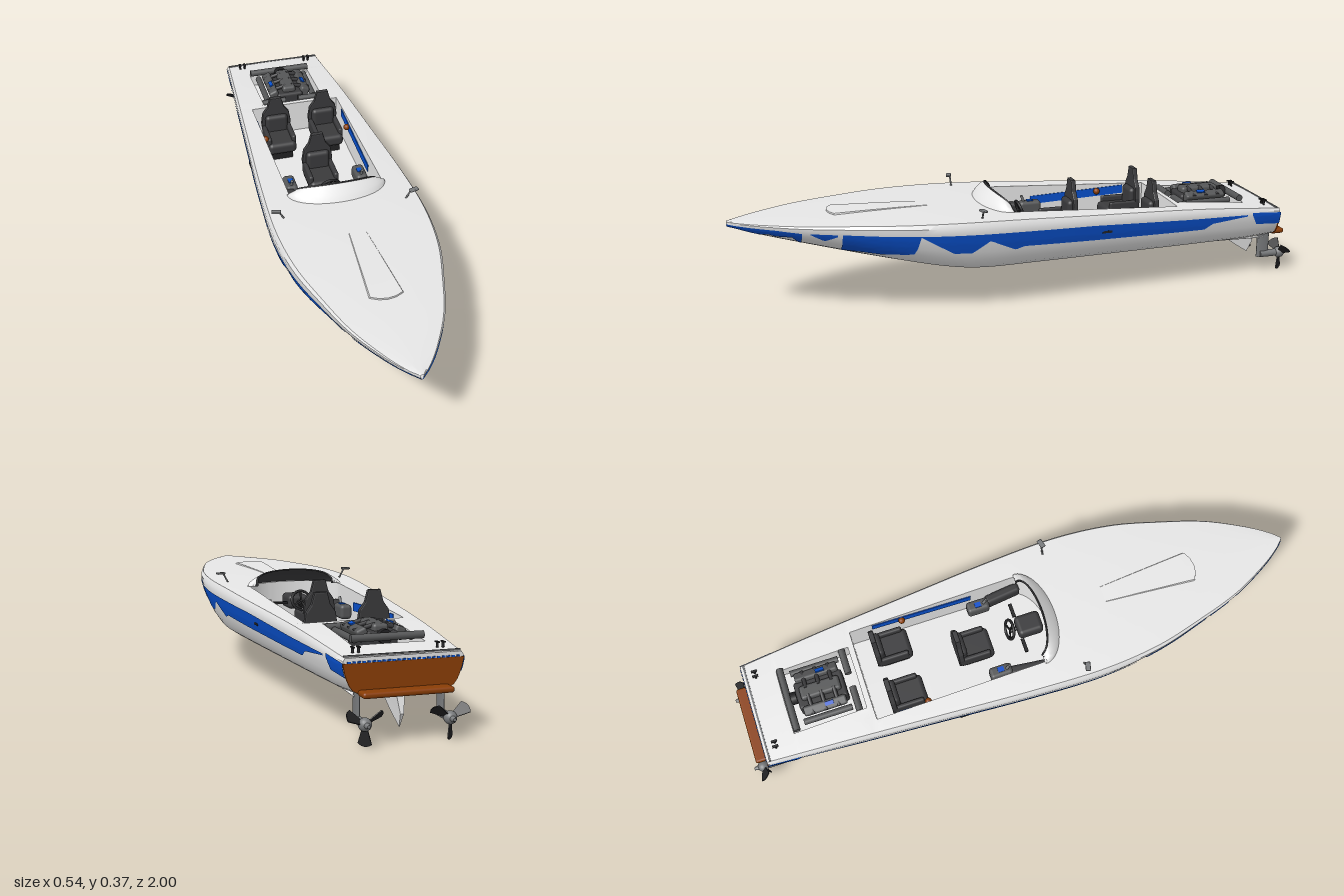
import * as THREE from 'three';
import { toCreasedNormals } from 'three/addons/utils/BufferGeometryUtils.js';
import { RoundedBoxGeometry } from 'three/addons/geometries/RoundedBoxGeometry.js';

const mat = (name, color, side = THREE.FrontSide) => {
  const m = new THREE.MeshStandardMaterial({ color, side });
  m.name = name;
  return m;
};
const white = mat('white gelcoat', 0xf2f2f2, THREE.DoubleSide);
const blue = mat('blue paint', 0x0850cc, THREE.DoubleSide);
const rust = mat('copper brown', 0x8a3e06);
const dark = mat('dark upholstery', 0x3a3a3c, THREE.DoubleSide);
const steel = mat('engine grey', 0x555657);
const grey = mat('grey metal', 0x787a7c);
const black = mat('black', 0x222224);

// Smooth interpolation through [z, value] pairs
function sample(t, z) {
  let i = 0;
  while (i < t.length - 2 && z > t[i + 1][0]) i++;
  const slope = k => {
    const a = t[Math.max(k - 1, 0)], b = t[Math.min(k + 1, t.length - 1)];
    return (b[1] - a[1]) / (b[0] - a[0]);
  };
  const [z0, v0] = t[i], [z1, v1] = t[i + 1], d = z1 - z0;
  const s = Math.min(1, Math.max(0, (z - z0) / d)), q = s * s, c = q * s;
  return (2 * c - 3 * q + 1) * v0 + (c - 2 * q + s) * d * slope(i) + (3 * q - 2 * c) * v1 + (c - q) * d * slope(i + 1);
}
const lerpTable = (t, z) => {
  let i = 0;
  while (i < t.length - 2 && z > t[i + 1][0]) i++;
  return THREE.MathUtils.mapLinear(z, t[i][0], t[i + 1][0], t[i][1], t[i + 1][1]);
};

// Hull lines
const BEAM = [[-.93, .185], [-.6, .212], [-.3, .235], [0, .257], [.25, .265], [.45, .245], [.62, .2], [.77, .15], [.9, .082], [.97, .034], [1, .005]];
const TOP = [[-.93, .25], [-.6, .28], [-.2, .302], [.1, .317], [.4, .324], [.7, .324], [1, .319]];
const KEEL = [[-.93, .135], [-.8, .127], [0, .126], [.2, .127], [.3, .137], [.4, .154], [.6, .195], [.8, .245], [.92, .278], [1, .305]];
const MID = [[0, 0], [.015, .3], [.035, .6], [.08, .74], [.17, .84], [.3, .9], [.45, .94], [.62, .975], [.8, 1], [.92, 1], [1, .965]];
const BOW = [[0, 0], [.06, .28], [.14, .47], [.24, .63], [.35, .75], [.47, .85], [.61, .92], [.73, .965], [.84, .99], [.92, 1], [1, .965]];
const deckY = (z, x) => sample(TOP, z) + .003 * (1 - (x / sample(BEAM, z)) ** 2);
function sidePoints(z) {
  const w = sample(BEAM, z), k = sample(KEEL, z), h = sample(TOP, z) - k;
  const s = THREE.MathUtils.smoothstep(z, .1, .9);
  return MID.map(([u, f], i) => [w * (f + (BOW[i][1] - f) * s), k + h * (u + (BOW[i][0] - u) * s)]);
}
const sideX = (z, y) => lerpTable(sidePoints(z).map(([x, v]) => [v, x]), y);

// Half width of the deck openings
function opening(z) {
  if (z > -.82 && z < -.56) return .115;
  if (z > -.54 && z <= .05) return .165;
  if (z > .05 && z < .14) return .165 * Math.sqrt(1 - ((z - .05) / .09) ** 2);
  return 0;
}

// Surface through rows of points
function grid(rows, crease = .6) {
  const n = rows[0].length, idx = [];
  for (let i = 0; i < rows.length - 1; i++) for (let j = 0; j < n - 1; j++) {
    const a = i * n + j, b = a + n;
    idx.push(a, a + 1, b, a + 1, b + 1, b);
  }
  const g = new THREE.BufferGeometry();
  g.setAttribute('position', new THREE.Float32BufferAttribute(rows.flat(2), 3));
  g.setIndex(idx);
  return toCreasedNormals(g, crease);
}
function add(parent, name, geo, m, x = 0, y = 0, z = 0, rx = 0, ry = 0, rz = 0) {
  const mesh = new THREE.Mesh(geo, m);
  mesh.name = name;
  mesh.position.set(x, y, z);
  mesh.rotation.set(rx, ry, rz);
  parent.add(mesh);
}
const box = (w, h, d) => new THREE.BoxGeometry(w, h, d);
const cyl = (r, h, r2 = r) => new THREE.CylinderGeometry(r2, r, h, 16);
const plate = (pts, depth) => new THREE.ExtrudeGeometry(new THREE.Shape(pts.map(p => new THREE.Vector2(...p))), { depth, bevelEnabled: false });
const group = (parent, name, x = 0, y = 0, z = 0) => {
  const g = new THREE.Group();
  g.name = name;
  g.position.set(x, y, z);
  parent.add(g);
  return g;
};

function hullRow(z) {
  const o = opening(z), edge = sample(BEAM, z) * .965;
  const half = sidePoints(z).map(([x, y]) => [x, y, z]);
  for (let i = 1; i <= 5; i++) {
    const x = edge + (o - edge) * i / 5;
    half.push([x, deckY(z, x), z]);
  }
  const floor = o > 0 ? (z < -.55 ? .215 : .165) : deckY(z, 0);
  half.push([o, floor, z], [0, floor, z]);
  return [...half, ...half.slice(0, -1).reverse().map(([x, y, q]) => [-x, y, q])];
}

// Painted strip lying on the hull side, closed under the stem where it reaches the keel
function sidePatch(parent, top, bottom, s) {
  const z0 = top[0][0], z1 = top[top.length - 1][0], n = Math.ceil((z1 - z0) / .01), rows = [];
  for (let i = 0; i <= n; i++) {
    const z = z0 + (z1 - z0) * i / n, k = sample(KEEL, z), t = Math.min(lerpTable(top, z), sample(TOP, z) - .004);
    const low = lerpTable(bottom, z), b = Math.min(t, Math.max(k, low)), row = [];
    for (let j = 0; j <= 10; j++) {
      const y = b + (t - b) * j / 10, stem = j === 0 && low <= k;
      row.push([stem ? 0 : s * (sideX(z, y) + .0025), stem ? k - .002 : y, z + (z > .5 ? .0015 : 0)]);
    }
    rows.push(s > 0 ? row : row.reverse());
  }
  add(parent, 'sideStripe', grid(rows), blue);
}

function seat(parent, x, z) {
  const g = group(parent, 'seat', x, 0, z);
  const s = new THREE.Shape([[-.045, .2], [.045, .2], [.052, .26], [.046, .3], [.028, .325], [.018, .362], [-.018, .362], [-.028, .325], [-.046, .3], [-.052, .26]].map(p => new THREE.Vector2(...p)));
  const back = new THREE.ExtrudeGeometry(s, { depth: .01, bevelSize: .004, bevelThickness: .004, bevelSegments: 2 });
  add(g, 'seatBack', back, dark, 0, .004, -.066);
  add(g, 'seatCushion', new RoundedBoxGeometry(.106, .045, .13, 3, .016), dark, 0, .215, -.005);
  add(g, 'lumbarPad', new RoundedBoxGeometry(.085, .09, .03, 3, .014), dark, 0, .255, -.05);
  add(g, 'seatBase', box(.08, .04, .09), black, 0, .183, 0);
  for (const s2 of [-1, 1]) add(g, 'seatBolster', new RoundedBoxGeometry(.016, .05, .11, 3, .007), dark, s2 * .046, .232, -.01);
}

function propeller(parent, s) {
  const g = group(parent, 'propeller', s * .131, .065, -.968);
  add(g, 'propellerHub', new THREE.SphereGeometry(.02, 20, 14), grey);
  add(g, 'propellerTail', cyl(.014, .032, .005), grey, 0, 0, -.016, -Math.PI / 2);
  const shape = new THREE.Shape();
  shape.moveTo(-.008, .01).quadraticCurveTo(-.016, .035, -.022, .056).quadraticCurveTo(0, .072, .022, .056).quadraticCurveTo(.016, .035, .008, .01);
  const blade = new THREE.ExtrudeGeometry(shape, { depth: .003, bevelEnabled: false }).translate(0, 0, -.0015).rotateY(.85 * s);
  for (let i = 0; i < 3; i++) add(g, 'propellerBlade', blade, black, 0, 0, 0, 0, 0, Math.PI + i * Math.PI * 2 / 3);
  add(parent, 'propellerShaft', cyl(.013, .07), grey, s * .131, .065, -.925, Math.PI / 2);
  add(parent, 'propellerStrut', cyl(.009, .09).scale(.7, 1, 2.7), grey, s * .131, .1, -.9);
}

export function createModel() {
  const boat = new THREE.Group();
  boat.name = 'speedboat';

  // Hull, deck and cockpit tub in one loft
  const st = [];
  for (let i = 0; i <= 80; i++) st.push(-.93 + 1.93 * i / 80);
  for (const z of [-.82, -.56, -.54]) st.push(z - .0006, z + .0006);
  for (let i = 0; i <= 12; i++) st.push(.05 + .09 * Math.sin(i / 12 * Math.PI / 2));
  st.sort((a, b) => a - b);
  add(boat, 'hull', grid(st.map(hullRow)), white);

  // Transom: brown panel below a white band, with lower ledge
  const seam = .234, seamX = sideX(-.93, seam), side = sidePoints(-.93);
  const mirror = half => [...half, ...half.filter(p => p[0] > 0).reverse().map(([x, y]) => [-x, y])];
  add(boat, 'transom', plate(mirror([...side.filter(p => p[1] < seam), [seamX, seam]]), .006), rust, 0, 0, -.936);
  add(boat, 'transomBand', plate(mirror([[seamX, seam], ...side.filter(p => p[1] > seam)]), .004), white, 0, 0, -.934);
  add(boat, 'transomLedge', new RoundedBoxGeometry(.28, .018, .05, 3, .008), rust, 0, .148, -.955);
  for (let i = -11; i <= 11; i++) add(boat, 'transomTrim', box(.01, .005, .003), blue, i * .0152, .237, -.9355);
  add(boat, 'sternRail', box(.36, .005, .006), grey, 0, .253, -.922);

  // Keel fin
  const finGeo = plate([[.78, .128], [.84, .075], [.905, .032], [.925, .075], [.91, .135]], .02).translate(0, 0, -.01).rotateY(Math.PI / 2);
  const fp = finGeo.attributes.position;
  for (let i = 0; i < fp.count; i++) fp.setX(i, fp.getX(i) * Math.max(.08, (fp.getY(i) - .03) / .08));
  finGeo.computeVertexNormals();
  add(boat, 'keelFin', finGeo, white);

  for (const s of [-1, 1]) {
    // Shallow strakes converging toward the bow
    for (const [x, turn] of [[.05, .035], [.1, .06]]) {
      add(boat, 'bottomStrake', cyl(.007, 1.1, .002).scale(1, 1, .45), white, s * x, .131, -.35, Math.PI / 2, 0, s * turn);
    }
    // Blue hull paint
    sidePatch(boat, [[.77, .3], [.85, .307], [.998, .312]], [[.77, .25], [.8, .283], [.85, .28], [.875, .29], [.9, .275], [.92, .27], [.998, .27]], s);
    sidePatch(boat, [[.66, .297], [.745, .3]], [[.66, .29], [.7, .272], [.745, .297]], s);
    sidePatch(boat, [[.4, .287], [.645, .297]], [[.4, .285], [.415, .22], [.52, .218], [.58, .225], [.645, .228]], s);
    sidePatch(boat, [[-.8, .24], [-.55, .249], [-.2, .268], [.4, .287]],
      [[-.8, .235], [-.66, .222], [-.63, .203], [-.5, .205], [-.2, .213], [.05, .222], [.08, .212], [.17, .255], [.23, .214], [.29, .217], [.4, .284]], s);
    sidePatch(boat, [[-.936, .236], [-.82, .246]], [[-.936, .192], [-.84, .2], [-.82, .236]], s);
    add(boat, 'sideVent', box(.004, .008, .035), black, s * (sideX(-.25, .24) + .002), .24, -.25);

    propeller(boat, s);
    // Mirrors and cleats
    add(boat, 'mirrorPost', cyl(.003, .038), grey, s * .222, .336, .185, 0, 0, -s * .5);
    add(boat, 'mirror', new RoundedBoxGeometry(.032, .007, .018, 2, .003), grey, s * .239, .353, .188, 0, s * .25);
    for (const x of [.122, .14]) {
      add(boat, 'cleatPost', cyl(.004, .018), black, s * x, .264, -.89);
      add(boat, 'cleatCap', box(.008, .004, .02), black, s * x, .272, -.89);
    }

    // Cockpit side consoles, wall paint and lamps
    add(boat, 'console', new RoundedBoxGeometry(.035, .05, .13, 3, .012), dark, s * .145, .235, .01, 0, s * .12);
    add(boat, 'consoleHead', new RoundedBoxGeometry(.042, .05, .08, 3, .012), steel, s * .128, .24, -.085);
    add(boat, 'consoleScreen', box(.018, .004, .022), blue, s * .126, .266, -.085);
    add(boat, 'throttle', cyl(.005, .03), grey, s * .128, .272, -.06, .4);
    add(boat, 'wallStripe', box(.003, .03, .36), blue, s * .163, .262, -.28, .04);
    add(boat, 'wallLamp', new THREE.SphereGeometry(.012, 12, 8), rust, s * .155, .27, -.355);
  }

  // Seats
  seat(boat, 0, -.14);
  for (const s of [-1, 1]) seat(boat, s * .09, -.41);

  // Helm
  add(boat, 'dashboard', new RoundedBoxGeometry(.075, .05, .09, 3, .015), dark, 0, .262, .06);
  for (const s of [-1, 1]) add(boat, 'dashBar', box(.05, .008, .012), black, s * .068, .262, .022);
  add(boat, 'steeringColumn', cyl(.007, .07), black, 0, .267, .025, 1.2);
  add(boat, 'steeringWheel', new THREE.TorusGeometry(.034, .005, 8, 28), black, 0, .272, -.01, .35);
  for (let i = 0; i < 3; i++) add(boat, 'wheelSpoke', box(.006, .034, .004).translate(0, .017, 0), black, 0, .272, -.01, .35, 0, i * Math.PI * 2 / 3);

  // Wrapped windscreen: white outside, dark lining and rim
  const screen = d => {
    const rows = [];
    for (let i = 0; i <= 32; i++) {
      const a = Math.PI * i / 32, c = Math.cos(a), k = Math.sin(a), h = .049 * Math.pow(k, .5), row = [];
      for (let j = 0; j <= 5; j++) {
        const t = j / 5, x = (.174 - .03 * t * t - d) * c;
        row.push([x, .319 + h * Math.pow(t, .85), .06 + (.094 - d) * k - .045 * k * t]);
      }
      rows.push(row.reverse());
    }
    return rows;
  };
  add(boat, 'windscreen', grid(screen(0)), white);
  const lining = screen(.005);
  add(boat, 'windscreenLining', grid(lining), dark);
  const rim = new THREE.CatmullRomCurve3(lining.map(r => new THREE.Vector3(...r[0])));
  add(boat, 'windscreenRim', new THREE.TubeGeometry(rim, 48, .003, 6), dark);

  // Low bow scoop, rising gently toward its front lip
  const scoop = [];
  for (let i = 0; i <= 12; i++) {
    const t = i / 12, w = .03 + .026 * t, h = .001 + .004 * t;
    scoop.push([1, .94, .5, 0, -.5, -.94, -1].map((f, j) => {
      const x = f * w, z = .33 + .32 * t + .02 * t * (1 - f * f);
      return [x, deckY(z, x) + (j % 6 ? h : -.001), z];
    }));
  }
  scoop.push(scoop[12].map(([x, , z]) => [x, deckY(z, x) - .002, z + .001]));
  add(boat, 'bowScoop', grid(scoop), white);

  // Engine
  const e = group(boat, 'engine', 0, .265, -.69);
  add(e, 'engineBlock', new RoundedBoxGeometry(.1, .07, .17, 2, .01), dark, 0, -.01, 0);
  add(e, 'intakePlenum', new RoundedBoxGeometry(.05, .03, .14, 3, .01), steel, 0, .03, 0);
  add(e, 'pulley', cyl(.022, .02), black, 0, .012, -.095, Math.PI / 2);
  add(e, 'rearCrossTube', cyl(.012, .23), steel, 0, .015, -.115, 0, 0, Math.PI / 2);
  for (const s of [-1, 1]) {
    add(e, 'frontCrossTube', cyl(.012, .09), steel, s * .07, .012, .105, 0, 0, Math.PI / 2);
    add(e, 'cylinderHead', new RoundedBoxGeometry(.035, .04, .15, 2, .008), steel, s * .058, .015, 0, 0, 0, -s * .4);
    add(e, 'engineCover', box(.014, .005, .03), blue, s * .062, .037, .015, 0, 0, -s * .4);
    add(e, 'exhaustManifold', cyl(.011, .17), steel, s * .09, .005, 0, Math.PI / 2);
    for (let i = -1; i <= 1; i++) add(e, 'intakeRunner', cyl(.007, .07), dark, s * .045, .032, i * .045, 0, 0, Math.PI / 2 - s * .25);
  }
  return boat;
}
